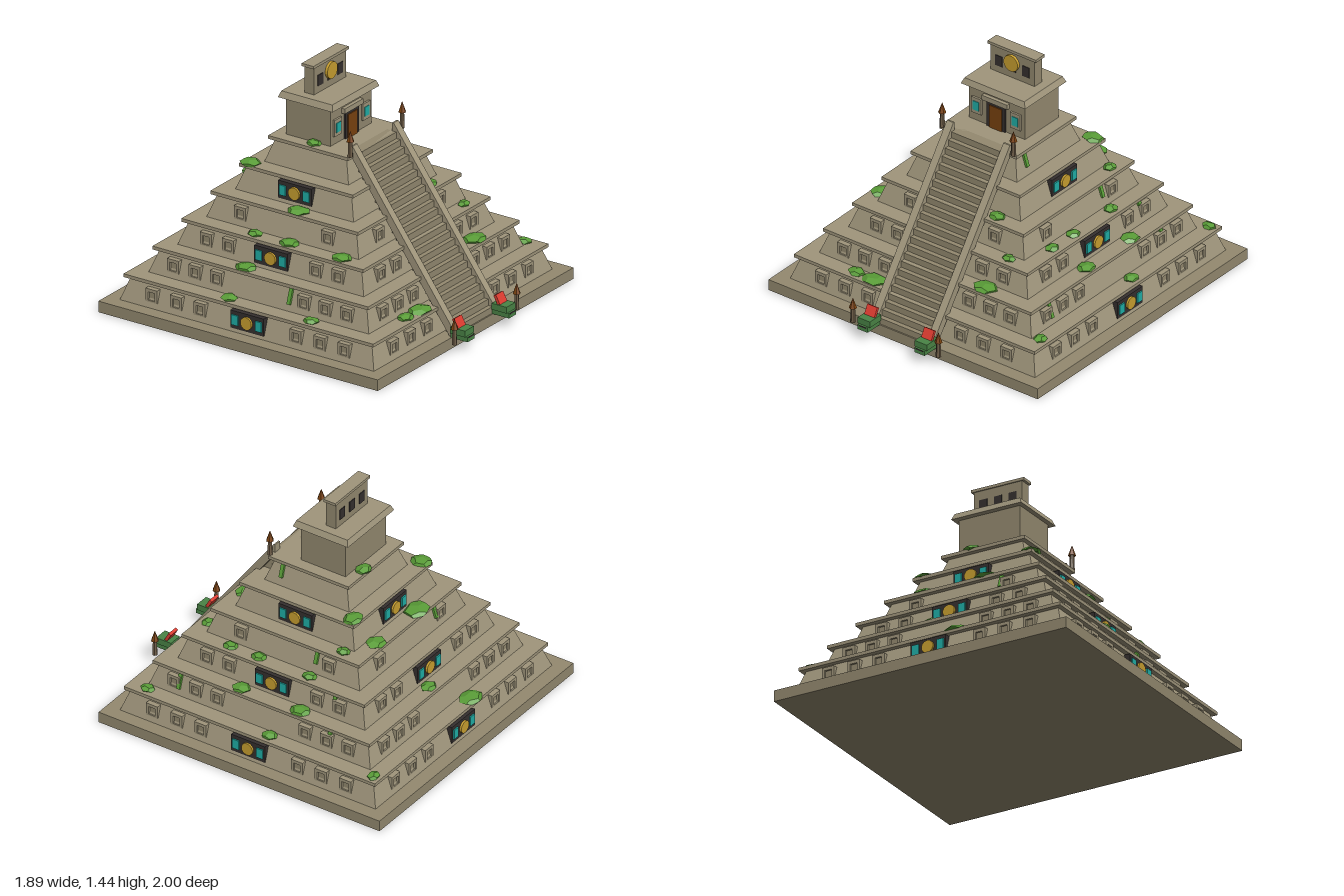
import * as THREE from 'three';

const mat = (name, color) => {
  const m = new THREE.MeshStandardMaterial({ color });
  m.name = name;
  return m;
};
const stone = mat('pale stone', 0xa0967c);
const darkStone = mat('weathered stone', 0x948a70);
const shadow = mat('dark recess', 0x35302f);
const wood = mat('brown wood', 0x7a4210);
const pole = mat('torch pole', 0x6e5d48);
const turquoise = mat('turquoise', 0x20b0a8);
const gold = mat('gold', 0xc9a030);
const red = mat('red', 0xdc3c30);
const jade = mat('jade', 0x4a8446);
const leaf = mat('leaf green', 0x5a9e38);

const CZ = -0.057;                 // centre of the pyramid in z
const BASE = 0.067, RISE = 0.155, STEP = 0.115;
const half = (k) => 0.86 - STEP * k;      // half width of a tier at its foot
const tierTop = (k) => BASE + RISE * (k + 1);

function add(parent, name, geo, material, x = 0, y = 0, z = 0) {
  const m = new THREE.Mesh(geo, material);
  m.name = name;
  m.position.set(x, y, z);
  parent.add(m);
  return m;
}
const box = (parent, name, material, w, h, d, x, y, z) =>
  add(parent, name, new THREE.BoxGeometry(w, h, d), material, x, y, z);

function flat(geo) {
  const g = geo.toNonIndexed();
  g.computeVertexNormals();
  return g;
}
// square frustum with half widths at top and bottom, depth scaled
function frustum(top, bottom, h, depth = 1) {
  const g = new THREE.CylinderGeometry(top * Math.SQRT2, bottom * Math.SQRT2, h, 4);
  g.rotateY(Math.PI / 4);
  g.scale(1, 1, depth);
  return flat(g);
}
function disc(r, t, sides = 14) {
  const g = new THREE.CylinderGeometry(r, r, t, sides);
  g.rotateX(Math.PI / 2);
  return flat(g);
}
function group(parent, name, x = 0, y = 0, z = 0) {
  const g = new THREE.Group();
  g.name = name;
  g.position.set(x, y, z);
  parent.add(g);
  return g;
}

// raised square frame with a sunken panel
function niche(parent, x, y, z) {
  const s = new THREE.Shape([[-0.039, -0.039], [0.039, -0.039], [0.039, 0.039], [-0.039, 0.039]]
    .map(([a, b]) => new THREE.Vector2(a, b)));
  s.holes.push(new THREE.Path([[-0.022, -0.03], [-0.022, 0.02], [0.022, 0.02], [0.022, -0.03]]
    .map(([a, b]) => new THREE.Vector2(a, b))));
  const g = group(parent, 'niche', x, y, z);
  add(g, 'nicheFrame', new THREE.ExtrudeGeometry(s, { depth: 0.05, bevelEnabled: false }), stone, 0, 0, -0.05);
  box(g, 'nichePanel', darkStone, 0.044, 0.05, 0.036, 0, -0.005, -0.03);
}

function medallion(parent, y, z) {
  const g = group(parent, 'medallion', 0, y, z);
  box(g, 'medallionPanel', shadow, 0.226, 0.106, 0.05, 0, 0, -0.025);
  for (const s of [-1, 1]) box(g, 'medallionInlay', turquoise, 0.043, 0.06, 0.008, s * 0.08, 0, 0.004);
  add(g, 'medallionSun', disc(0.038, 0.012), gold, 0, 0, 0.006);
}

function torch(parent, x, y, z) {
  const g = group(parent, 'torch', x, y, z);
  add(g, 'torchPole', flat(new THREE.CylinderGeometry(0.012, 0.016, 0.1, 6)), pole, 0, 0.05, 0);
  add(g, 'torchFlame', flat(new THREE.ConeGeometry(0.023, 0.065, 6)), wood, 0, 0.125, 0);
}

function serpentHead(parent, x) {
  const g = group(parent, 'serpentHead', x, BASE, 0.94);
  box(g, 'jaw', jade, 0.07, 0.03, 0.115, 0, 0.015, 0);
  box(g, 'skull', jade, 0.085, 0.038, 0.1, 0, 0.048, -0.004);
  box(g, 'mouth', shadow, 0.05, 0.008, 0.004, 0, 0.026, 0.058);
  const crest = box(g, 'crest', red, 0.07, 0.06, 0.018, 0, 0.09, -0.025);
  crest.rotation.x = -0.5;
}

export function createModel() {
  const model = new THREE.Group();
  model.name = 'steppedPyramid';

  // plinth and six battered tiers with capping slabs
  box(model, 'plinth', darkStone, 1.89, BASE, 1.89, 0, BASE / 2, CZ);
  for (let k = 0; k < 6; k++) {
    const y = BASE + RISE * k;
    add(model, 'tier', frustum(half(k) - 0.045, half(k), RISE - 0.02), stone, 0, y + (RISE - 0.02) / 2, CZ);
    const w = 2 * (half(k) - 0.015);
    box(model, 'tierCap', stone, w, 0.02, w, 0, y + RISE - 0.01, CZ);
  }

  // niches and medallions on the four faces
  const offsets = [[0.325, 0.485, 0.65], [0.295, 0.44, 0.585], [0.295, 0.445], [0.295]];
  for (let f = 0; f < 4; f++) {
    const face = group(model, 'faceDecoration', 0, 0, CZ);
    face.rotation.y = f * Math.PI / 2;
    offsets.forEach((row, k) => row.forEach((x) => [-1, 1].forEach((s) =>
      niche(face, s * x, tierTop(k) - 0.083, half(k) - 0.006))));
    if (f > 0) for (const k of [0, 2, 4]) medallion(face, tierTop(k) - 0.082, half(k) - 0.002);
  }

  // staircase
  const n = 24, rise = (tierTop(5) - BASE) / n, run = 0.68 / n;
  for (let i = 0; i < n; i++)
    box(model, 'stairStep', darkStone, 0.36, rise, 0.065, 0, BASE + rise * (i + 0.5), 0.88 - run * i - 0.0325);

  // sloping balustrades, drawn in side profile (z, y)
  const side = new THREE.Shape([[0.885, BASE], [0.885, 0.12], [0.21, 1.048], [0.2, 1.048], [0.2, 0.985], [0.865, BASE]]
    .map(([z, y]) => new THREE.Vector2(z, y)));
  for (const s of [-1, 1]) {
    const g = new THREE.ExtrudeGeometry(side, { depth: 0.046, bevelEnabled: false });
    g.rotateY(-Math.PI / 2);
    add(model, 'balustrade', g, stone, s * 0.198 + 0.023, 0, 0);
    serpentHead(model, s * 0.2);
    torch(model, s * 0.3, BASE, 0.955);
    torch(model, s * 0.25, tierTop(5), 0.215);
  }

  // temple
  const temple = group(model, 'temple', 0, tierTop(5), -0.107);
  box(temple, 'templeWalls', darkStone, 0.395, 0.225, 0.3, 0, 0.1125, 0);
  add(temple, 'templeRoof', frustum(0.21, 0.226, 0.036, 0.82), stone, 0, 0.243, 0);
  box(temple, 'doorFrame', shadow, 0.13, 0.162, 0.012, 0, 0.081, 0.154);
  box(temple, 'door', wood, 0.088, 0.142, 0.008, 0, 0.071, 0.162);
  box(temple, 'lintel', stone, 0.18, 0.03, 0.025, 0, 0.178, 0.16);
  for (const s of [-1, 1]) {
    box(temple, 'wallPanel', stone, 0.07, 0.1, 0.014, s * 0.137, 0.1, 0.155);
    box(temple, 'wallInlay', turquoise, 0.042, 0.056, 0.006, s * 0.137, 0.1, 0.163);
  }

  // roof comb with windows and sun disc
  const comb = group(model, 'roofComb', 0, 1.257, -0.13);
  box(comb, 'combWall', darkStone, 0.31, 0.165, 0.066, 0, 0.0825, 0);
  box(comb, 'combCap', stone, 0.34, 0.017, 0.08, 0, 0.172, 0);
  for (const x of [-0.095, 0, 0.095]) box(comb, 'combWindow', shadow, 0.05, 0.066, 0.074, x, 0.075, 0);
  add(comb, 'sunDisc', disc(0.05, 0.016, 18), gold, 0, 0.1, 0.042);

  // bushes on the ledges: x, z, radius
  const bushes = [
    [-0.15, -0.86, 0.08], [0.79, -0.855, 0.045], [0.08, -0.735, 0.055], [-0.13, -0.51, 0.09],
    [0.265, -0.51, 0.07], [0.33, -0.4, 0.068], [0.44, -0.41, 0.042], [-0.35, -0.39, 0.065],
    [0.085, -0.3, 0.055], [-0.79, -0.225, 0.055], [-0.68, -0.19, 0.065], [-0.56, -0.21, 0.048],
    [-0.56, 0.02, 0.06], [-0.455, 0.01, 0.07], [-0.22, -0.05, 0.045], [-0.79, 0.33, 0.048],
    [-0.56, 0.375, 0.062], [0.56, -0.265, 0.045], [0.68, -0.285, 0.062], [0.79, -0.155, 0.048],
    [0.56, 0.075, 0.046], [0.68, 0.11, 0.058], [0.56, 0.265, 0.045], [0.27, 0.385, 0.052],
    [0.44, 0.5, 0.043], [0.37, 0.62, 0.08], [0.79, 0.665, 0.045], [-0.45, 0.73, 0.055], [-0.32, 0.735, 0.08]];
  bushes.forEach(([x, z, r], i) => {
    const d = Math.max(Math.abs(x), Math.abs(z - CZ));
    let k = 0;
    while (k < 5 && half(k + 1) - 0.015 >= d) k++;
    const g = new THREE.DodecahedronGeometry(1);
    g.rotateY(i * 1.7);
    g.rotateX(0.3);
    const wide = Math.abs(x) < Math.abs(z - CZ);
    g.scale(wide ? r : r * 0.88, 0.02, wide ? r * 0.8 : r);
    add(model, 'bush', flatNormals(g), leaf, x, tierTop(k) + 0.006, z);
  });

  // hanging vines: face, offset along it, tier, length
  const vines = [[1, -0.18, 5, 0.09], [1, 0.21, 3, 0.08], [1, -0.55, 1, 0.1], [1, 0.455, 1, 0.045],
    [1, 0.41, 2, 0.035], [1, 0.1, 4, 0.04], [3, 0.2, 1, 0.1], [2, 0.25, 3, 0.08]];
  for (const [f, x, k, len] of vines) {
    const face = group(model, 'vineHolder', 0, 0, CZ);
    face.rotation.y = f * Math.PI / 2;
    const v = box(face, 'vine', leaf, 0.022, len, 0.014, x, tierTop(k) - 0.018 - len / 2,
      half(k) - 0.036 + len * 0.165);
    v.rotation.x = -0.32;
  }
  return model;
}

function flatNormals(g) {
  g.computeVertexNormals();
  return g;
}
